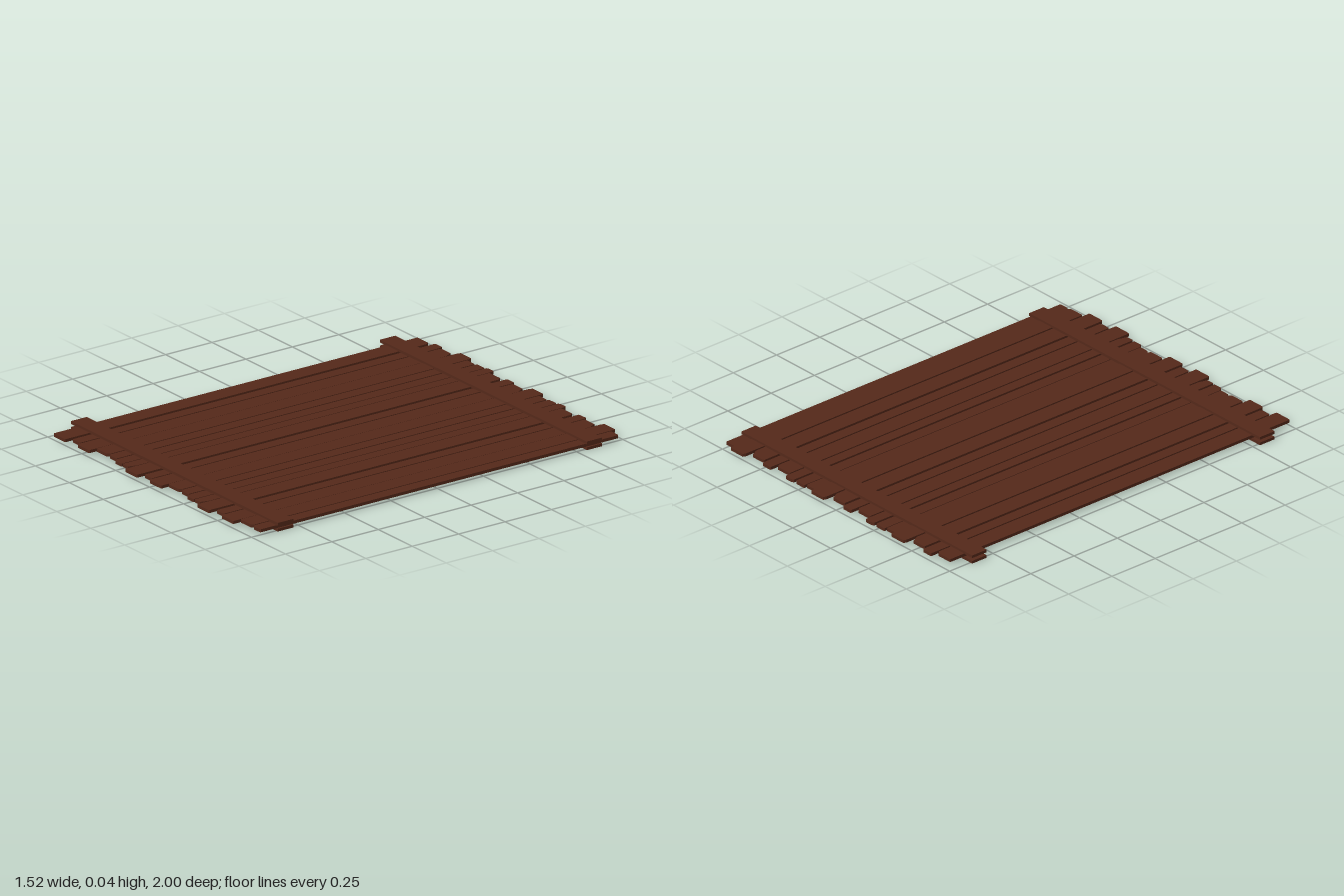
import * as THREE from 'three';

const wood = new THREE.MeshStandardMaterial({ color: 0x55291a, flatShading: true });

// Flat board from an [x, z] outline, spanning y0 to y1
function board(name, outline, y0, y1) {
  const shape = new THREE.Shape(outline.map(([x, z]) => new THREE.Vector2(x, -z)));
  const geometry = new THREE.ExtrudeGeometry(shape, { depth: y1 - y0, bevelEnabled: false });
  geometry.rotateX(-Math.PI / 2);
  geometry.translate(0, y0, 0);
  const mesh = new THREE.Mesh(geometry, wood);
  mesh.name = name;
  return mesh;
}

// One repeat of planks: left and right edge, back and front end, height,
// and worn corners as [along x, along z]: back-left, back-right, front-right, front-left
const none = [0.004, 0.003];
const planks = [
  { x: [-0.71, -0.622], z: [-0.962, 1.0], y: 0.015, cut: [none, [0.012, 0.014], none, none] },
  { x: [-0.61, -0.556], z: [-0.985, 0.97], y: 0.012, cut: [none, [0.005, 0.008], [0.012, 0.005], none] },
  { x: [-0.545, -0.456], z: [-0.967, 0.992], y: 0.014, cut: [[0.006, 0.005], [0.018, 0.035], none, [0.006, 0.006]] },
  { x: [-0.45, -0.364], z: [-1.0, 0.957], y: 0.016, cut: [[0.006, 0.014], none, [0.012, 0.016], none] },
  { x: [-0.364, -0.307], z: [-0.976, 0.955], y: 0.013, cut: [none, none, none, [0.012, 0.012]] },
  { x: [-0.302, -0.246], z: [-0.985, 0.972], y: 0.012, cut: [none, [0.005, 0.006], none, [0.014, 0.016]] },
  { x: [-0.237, -0.186], z: [-0.992, 0.972], y: 0.014, cut: [[0.012, 0.006], none, [0.012, 0.045], none] },
];
const pitch = 0.53;
const plankCount = 19;

export function createModel() {
  const group = new THREE.Group();
  group.name = 'plankPanel';

  // Lengthwise planks with uneven, chipped ends
  for (let i = 0; i < plankCount; i++) {
    const { x, z, y, cut } = planks[i % planks.length];
    const shift = Math.floor(i / planks.length) * pitch;
    const [l, r] = [x[0] + shift, x[1] + shift];
    const [b, f] = z;
    const [bl, br, fr, fl] = cut;
    group.add(board('plank', [
      [l, f - fl[1]], [l + fl[0], f], [r - fr[0], f], [r, f - fr[1]],
      [r, b + br[1]], [r - br[0], b], [l + bl[0], b], [l, b + bl[1]],
    ], y, y + 0.014));
  }

  // Cross battens clamping the planks above and below, near each end
  for (const [b, f] of [[-0.88, -0.797], [0.782, 0.867]]) {
    for (const [y0, y1] of [[0, 0.013], [0.027, 0.04]]) {
      group.add(board('crossBatten', [[-0.762, f], [0.762, f], [0.762, b], [-0.762, b]], y0, y1));
    }
  }
  return group;
}
